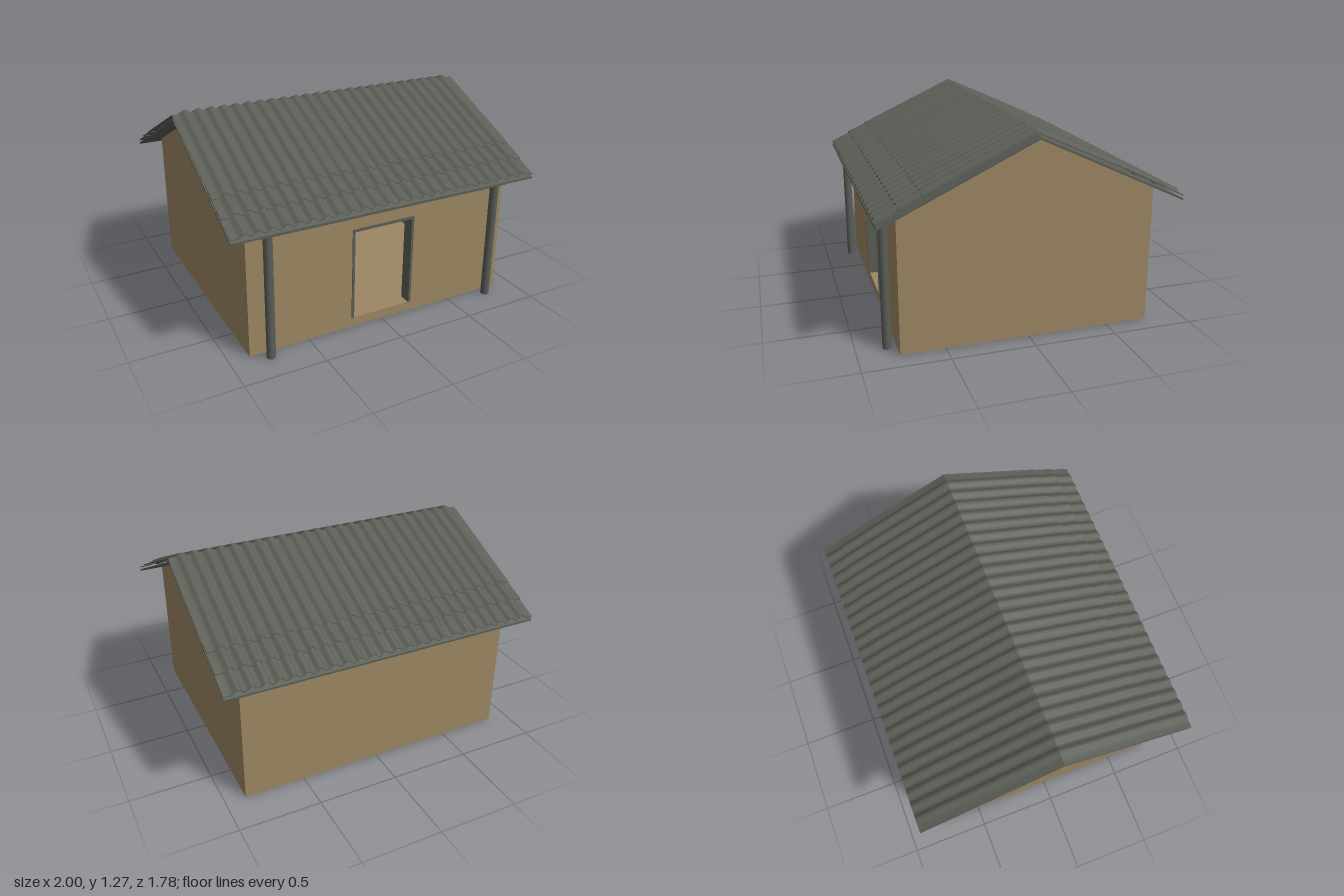
import * as THREE from 'three';
import { toCreasedNormals } from 'three/addons/utils/BufferGeometryUtils.js';

const SLOPE = 0.47, RIDGE = 1.21;          // underside of the roof boards
const WALL_X = 0.875, WALL_Z = 0.765, THICK = 0.07, WALL_TOP = 0.79;
const roofY = (z) => RIDGE - SLOPE * Math.abs(z);

export function createModel() {
  const group = new THREE.Group();
  const plaster = new THREE.MeshStandardMaterial({ color: 0x9c8663 });
  plaster.name = 'tan plaster';
  const slate = new THREE.MeshStandardMaterial({ color: 0x5a5e56 });
  slate.name = 'dark grey green';

  const add = (name, geometry, material) => {
    const mesh = new THREE.Mesh(geometry, material);
    mesh.name = name;
    group.add(mesh);
    return mesh;
  };
  const box = (name, material, x0, x1, y0, y1, z0, z1) =>
    add(name, new THREE.BoxGeometry(x1 - x0, y1 - y0, z1 - z0), material)
      .position.set((x0 + x1) / 2, (y0 + y1) / 2, (z0 + z1) / 2);
  // Prism with a [z, y] outline running along x
  const prismX = (points, x0, x1) => {
    const shape = new THREE.Shape(points.map(([z, y]) => new THREE.Vector2(-z, y)));
    return new THREE.ExtrudeGeometry(shape, { depth: x1 - x0, bevelEnabled: false })
      .rotateY(Math.PI / 2).translate(x0, 0, 0);
  };

  // Gable walls
  const gable = [[-WALL_Z, 0], [WALL_Z, 0], [WALL_Z, roofY(WALL_Z)], [0, RIDGE], [-WALL_Z, roofY(WALL_Z)]];
  const inner = WALL_X - THICK;
  add('leftGableWall', prismX(gable, inner, WALL_X), plaster);
  add('rightGableWall', prismX(gable, -WALL_X, -inner), plaster);

  // Back wall, floor, and front wall with a doorway
  box('backWall', plaster, -inner, inner, 0, WALL_TOP, -WALL_Z, -WALL_Z + THICK);
  box('floor', plaster, -inner, inner, 0, 0.06, -WALL_Z + THICK, WALL_Z - THICK);
  const rect = (path, x, y0, y1) =>
    path.moveTo(-x, y0).lineTo(x, y0).lineTo(x, y1).lineTo(-x, y1).closePath();
  const front = rect(new THREE.Shape(), inner, 0, WALL_TOP);
  front.holes.push(rect(new THREE.Path(), 0.21, 0.06, 0.65));
  add('frontWall', new THREE.ExtrudeGeometry(front, { depth: THICK, bevelEnabled: false })
    .translate(0, 0, WALL_Z - THICK), plaster);

  // Door frame
  const f0 = WALL_Z - THICK - 0.003, f1 = WALL_Z + 0.005;
  box('doorJambLeft', slate, 0.195, 0.211, 0.06, 0.635, f0, f1);
  box('doorJambRight', slate, -0.211, -0.195, 0.06, 0.635, f0, f1);
  box('doorLintel', slate, -0.211, 0.211, 0.635, 0.652, f0, f1);

  // Porch posts and the beam they carry
  for (const side of [1, -1]) {
    const post = add(side > 0 ? 'postLeft' : 'postRight',
      new THREE.CylinderGeometry(0.027, 0.027, 0.775, 24), slate);
    post.position.set(side * 0.765, 0.3875, 0.82);
  }
  add('porchBeam', prismX([[0.78, 0.772], [0.86, 0.772], [0.86, roofY(0.86) + 0.004],
    [0.78, roofY(0.78) + 0.004]], -0.815, 0.815), slate);

  // Roof boards
  const E = 0.89, B = 0.012;
  add('roofBoards', prismX([[0, RIDGE], [E, roofY(E)], [E, roofY(E) + B], [0, RIDGE + B],
    [-E, roofY(E) + B], [-E, roofY(E)]], -1, 1), slate);

  // Wavy tile sheet from (z0, y0) down to (z1, y1), measured at the crests
  const PERIOD = 0.08, WAVE = 0.022, SHEET = 0.006;
  const tileSheet = (z0, y0, z1, y1) => {
    const top = [new THREE.Vector2(-1, -WAVE)];
    const n = 24 * 8;
    for (let i = 0; i <= n; i++) {
      const c = (1 - Math.cos((i / 8) * 2 * Math.PI)) / 2;
      top.push(new THREE.Vector2(-0.96 + (i / 8) * PERIOD, WAVE * (c - 1)));
    }
    top.push(new THREE.Vector2(1, -WAVE));
    const under = top.map((p) => new THREE.Vector2(p.x, p.y - SHEET)).reverse();
    const g = new THREE.ExtrudeGeometry(new THREE.Shape([...top, ...under]),
      { depth: z1 - z0, bevelEnabled: false });
    const p = g.attributes.position;
    for (let i = 0; i < p.count; i++) {
      const z = p.getZ(i);
      p.setXYZ(i, p.getX(i), p.getY(i) + y0 + (y1 - y0) * z / (z1 - z0), z + z0);
    }
    return toCreasedNormals(g, 0.6);
  };

  // Three overlapping courses on each slope
  const courses = [
    ['upperTiles', 0, 1.266, 0.64, 0.974],
    ['middleTiles', 0.57, 0.998, 0.77, 0.912],
    ['eaveTiles', 0.7, 0.933, 0.89, 0.846],
  ];
  for (const [name, ...span] of courses) {
    const g = tileSheet(...span);
    add(name + 'Front', g, slate);
    add(name + 'Back', g, slate).rotation.y = Math.PI;
  }
  return group;
}
